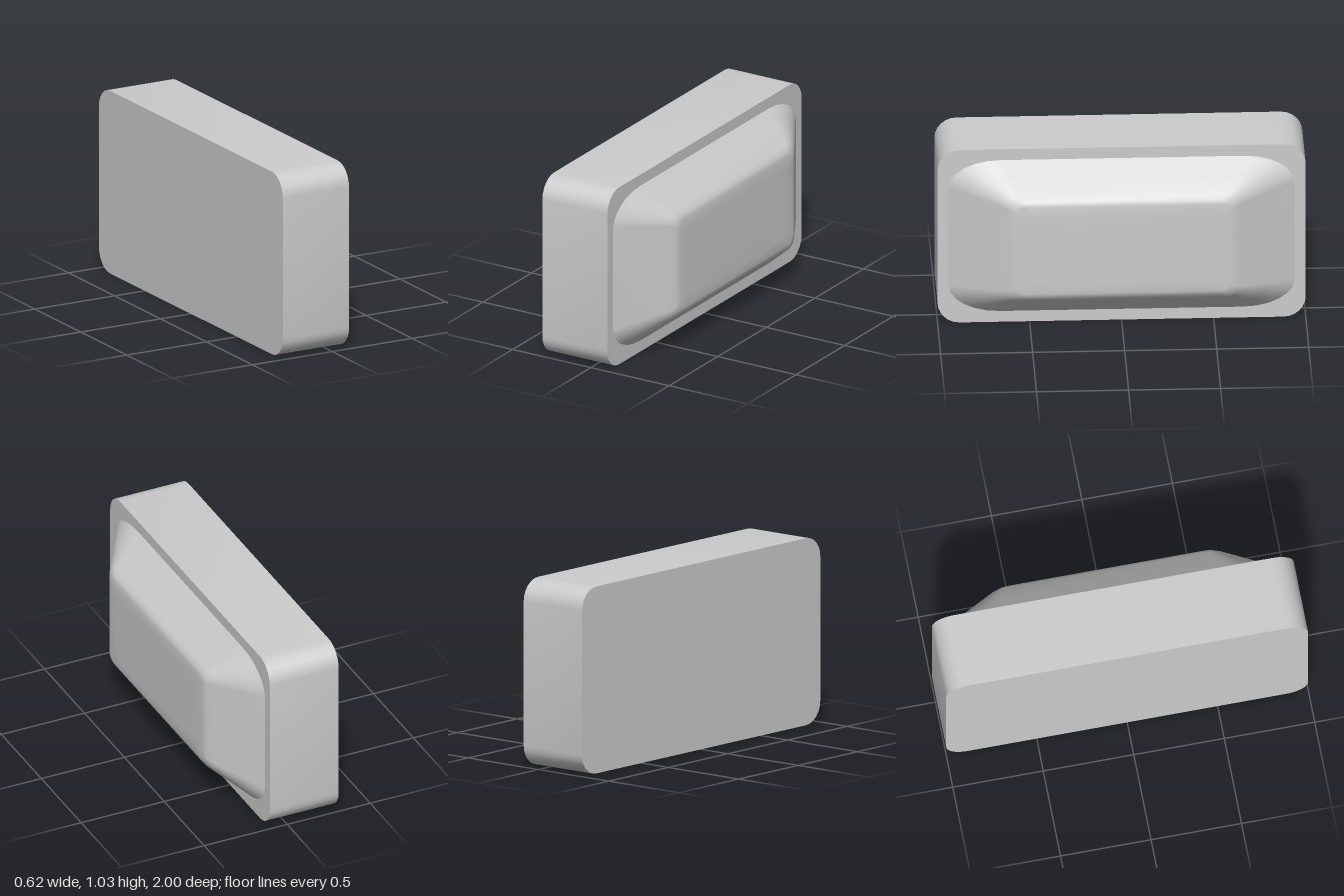
import * as THREE from 'three';
import { toCreasedNormals } from 'three/addons/utils/BufferGeometryUtils.js';

const MID_Y = 0.5175;
const CORNER_STEPS = 6;

// Counter-clockwise outline of a rectangle with elliptical corners (u across, v up)
function roundedOutline(halfU, halfV, radiusU, radiusV) {
  const points = [];
  for (let corner = 0; corner < 4; corner++) {
    const su = corner === 0 || corner === 3 ? 1 : -1;
    const sv = corner < 2 ? 1 : -1;
    for (let i = 0; i <= CORNER_STEPS; i++) {
      const a = (corner + i / CORNER_STEPS) * Math.PI / 2;
      points.push(new THREE.Vector2(
        su * (halfU - radiusU) + radiusU * Math.cos(a),
        sv * (halfV - radiusV) + radiusV * Math.sin(a)
      ));
    }
  }
  return points;
}

// Bulging lens lofted through rings: [x, half length, half height, corner length, corner height]
function lensGeometry(rings) {
  const positions = [];
  const index = [];
  const n = 4 * (CORNER_STEPS + 1);
  for (const [x, halfZ, halfY, rz, ry] of rings) {
    for (const p of roundedOutline(halfZ, halfY, rz, ry)) positions.push(x, MID_Y + p.y, -p.x);
  }
  for (let r = 0; r < rings.length - 1; r++) {
    for (let i = 0; i < n; i++) {
      const j = (i + 1) % n;
      const a = r * n + i, b = r * n + j, c = a + n, d = b + n;
      index.push(a, b, d, a, d, c);
    }
  }
  // Close the outer face with a fan
  const last = (rings.length - 1) * n;
  const centre = positions.length / 3;
  positions.push(rings[rings.length - 1][0], MID_Y, 0);
  for (let i = 0; i < n; i++) index.push(last + i, last + (i + 1) % n, centre);

  const geometry = new THREE.BufferGeometry();
  geometry.setAttribute('position', new THREE.Float32BufferAttribute(positions, 3));
  geometry.setIndex(index);
  geometry.computeVertexNormals();
  return geometry;
}

export function createModel() {
  const group = new THREE.Group();
  const material = new THREE.MeshStandardMaterial({ color: 0xcccccc });

  // Housing: rounded block with its flat back on the -x side
  const outline = new THREE.Shape(roundedOutline(1, MID_Y, 0.12, 0.12));
  const block = new THREE.ExtrudeGeometry(outline, { depth: 0.415, bevelEnabled: false });
  block.rotateY(Math.PI / 2);
  block.translate(-0.31, MID_Y, 0);
  const housing = new THREE.Mesh(toCreasedNormals(block, 0.6), material);
  housing.name = 'housing';
  group.add(housing);

  // Lens: sloped sides softening into a flat outer face
  const lens = new THREE.Mesh(lensGeometry([
    [0.105, 0.94, 0.453, 0.28, 0.16],
    [0.193, 0.79, 0.38, 0.18, 0.11],
    [0.28, 0.643, 0.308, 0.08, 0.06],
    [0.3, 0.605, 0.283, 0.07, 0.05],
    [0.308, 0.58, 0.26, 0.06, 0.05],
    [0.31, 0.5, 0.2, 0.06, 0.05]
  ]), material);
  lens.name = 'lens';
  group.add(lens);

  return group;
}
